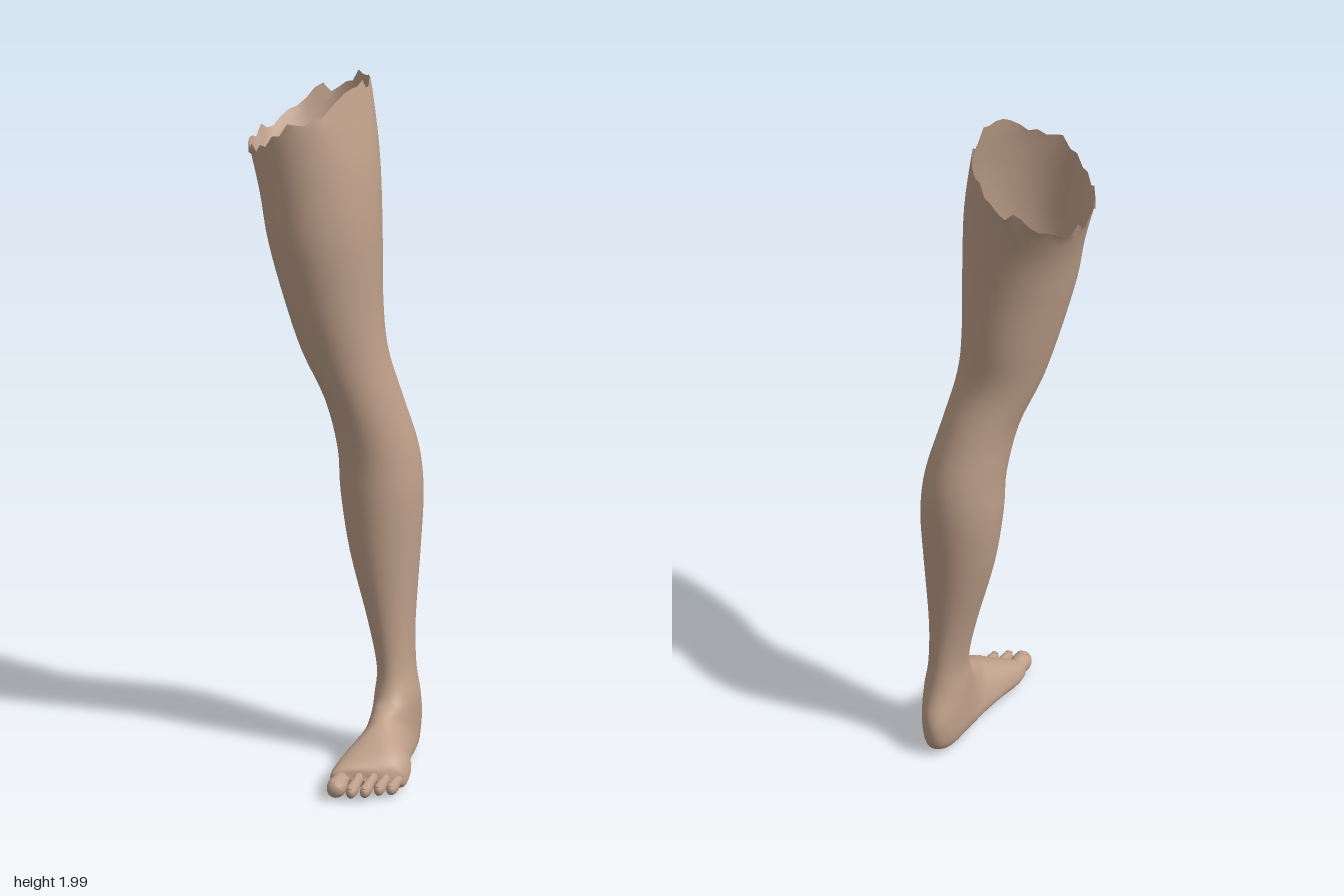
import * as THREE from 'three';

const skin = new THREE.MeshStandardMaterial({ color: 0xbfa08a, side: THREE.DoubleSide });

// Level sections from the rim to above the ankle: y, centre x, front z, back z, half width
const LEG = [
  [1.89, -0.1, 0.105, -0.315, 0.165],
  [1.72, -0.06, 0.117, -0.262, 0.165],
  [1.55, -0.038, 0.12, -0.23, 0.158],
  [1.35, -0.014, 0.09, -0.21, 0.136],
  [1.2, 0.015, 0.057, -0.195, 0.12],
  [1.05, 0.061, 0.022, -0.225, 0.107],
  [0.9, 0.092, -0.008, -0.26, 0.112],
  [0.77, 0.102, -0.016, -0.26, 0.115],
  [0.6, 0.113, -0.027, -0.235, 0.098],
  [0.4, 0.135, -0.04, -0.205, 0.065],
  [0.27, 0.15, -0.04, -0.198, 0.052],
];

// Sections fanning round the instep to the toe line:
// centre x, top y, top z, bottom y, bottom z, half width, backward sweep of the outer side
const FOOT = [
  [0.155, 0.2, -0.015, 0.185, -0.208, 0.06, 0],
  [0.155, 0.18, 0.02, 0.1, -0.235, 0.06, 0],
  [0.154, 0.165, 0.05, 0.02, -0.212, 0.06, 0],
  [0.157, 0.15, 0.075, 0.008, -0.13, 0.064, 0],
  [0.159, 0.135, 0.11, 0.014, -0.02, 0.074, 0],
  [0.165, 0.115, 0.15, 0.014, 0.08, 0.093, -0.005],
  [0.163, 0.09, 0.19, 0.005, 0.15, 0.1, -0.02],
  [0.162, 0.07, 0.212, 0.008, 0.19, 0.095, -0.035],
  [0.162, 0.045, 0.217, 0.035, 0.213, 0.078, -0.03],
];

// Every section becomes a front point, a back point and a half-width vector
const vec = (x, y, z) => new THREE.Vector3(x, y, z);
const sections = [
  ...LEG.map(([y, x, front, back, half]) => ({
    front: vec(x, y, front),
    back: vec(x, y, back),
    side: vec(half, 0.1 * (Math.max(0, y - 1.3) / 0.59) ** 1.5, 0), // the thigh is cut at a slant
  })),
  ...FOOT.map(([x, topY, topZ, lowY, lowZ, half, sweep]) => ({
    front: vec(x, topY, topZ),
    back: vec(x, lowY, lowZ),
    side: vec(half, sweep * 0.3, sweep),
  })),
];
const track = key =>
  new THREE.CatmullRomCurve3(sections.map(s => s[key]), false, 'catmullrom', 0.5);

function seeded(seed) {
  return () => (seed = (seed * 16807) % 2147483647) / 2147483647;
}

const signedPower = (v, p) => Math.sign(v) * Math.abs(v) ** p;

// Skin lofted through the sections from the rim down to the toe line
function legGeometry() {
  const front = track('front'), back = track('back'), side = track('side');
  const rings = (sections.length - 1) * 4, around = 44;
  const footStart = (LEG.length + 1) / (sections.length - 1);
  const rand = seeded(71);
  const pos = [], index = [];
  for (let i = 0; i <= rings; i++) {
    const t = i / rings;
    const f = front.getPoint(t), b = back.getPoint(t), s = side.getPoint(t);
    const centre = f.clone().add(b).multiplyScalar(0.5);
    const half = f.clone().sub(b).multiplyScalar(0.5);
    const foot = THREE.MathUtils.smoothstep(t, footStart - 0.05, footStart + 0.2);
    const power = 1 - 0.22 * foot; // the sole is squarer than the leg
    for (let j = 0; j < around; j++) {
      const a = (j / around) * Math.PI * 2;
      const c = signedPower(Math.cos(a), power);
      const n = signedPower(Math.sin(a), power);
      const v = centre.clone().addScaledVector(half, c)
        .addScaledVector(s, n * (1 - 0.12 * foot * c));
      if (i === 0) v.y += 0.015 - 0.05 * rand(); // torn edge
      pos.push(v.x, Math.max(v.y, 0.002), v.z);
      if (i < rings) {
        const k = (j + 1) % around, r = i * around, q = r + around;
        index.push(r + j, q + j, q + k, r + j, q + k, r + k);
      }
    }
  }
  const g = new THREE.BufferGeometry();
  g.setAttribute('position', new THREE.Float32BufferAttribute(pos, 3));
  g.setIndex(index);
  g.computeVertexNormals();
  return g;
}

// Toe outline with a narrow neck and a rounded pad, one unit long
const toeProfile = new THREE.SplineCurve([
  [0.9, 0], [0.86, 0.3], [0.84, 0.5], [1, 0.74], [0.82, 0.92], [0.45, 0.985], [0, 1],
].map(p => new THREE.Vector2(...p))).getPoints(18);

function toe(name, x, baseZ, tipZ, width, height, baseY, tipY, turn) {
  const g = new THREE.Group();
  g.name = name;
  const length = tipZ - baseZ;
  const body = new THREE.Mesh(new THREE.LatheGeometry(toeProfile, 18).rotateX(Math.PI / 2), skin);
  body.name = 'toeBody';
  body.scale.set(width / 2, height / 2, length);
  const nail = new THREE.Mesh(new THREE.SphereGeometry(1, 14, 8), skin);
  nail.name = 'toenail';
  nail.scale.set(width * 0.3, height * 0.1, width * 0.32);
  nail.position.set(0, height * 0.4, length - width * 0.42);
  nail.rotation.x = 0.3;
  g.add(body, nail);
  g.position.set(x, baseY, baseZ);
  g.rotation.set(Math.atan2(baseY - tipY, length), turn, 0, 'YXZ');
  return g;
}

export function createModel() {
  const model = new THREE.Group();
  model.name = 'leg';
  const leg = new THREE.Mesh(legGeometry(), skin);
  leg.name = 'legAndFoot';
  model.add(leg);

  model.add(
    toe('bigToe', 0.092, 0.17, 0.319, 0.056, 0.056, 0.045, 0.032, 0.07),
    toe('secondToe', 0.143, 0.17, 0.317, 0.033, 0.042, 0.052, 0.026, 0.02),
    toe('thirdToe', 0.181, 0.165, 0.3, 0.031, 0.04, 0.05, 0.025, 0),
    toe('fourthToe', 0.214, 0.145, 0.268, 0.03, 0.038, 0.046, 0.024, -0.02),
    toe('littleToe', 0.244, 0.125, 0.244, 0.031, 0.038, 0.038, 0.022, -0.03),
  );
  return model;
}
